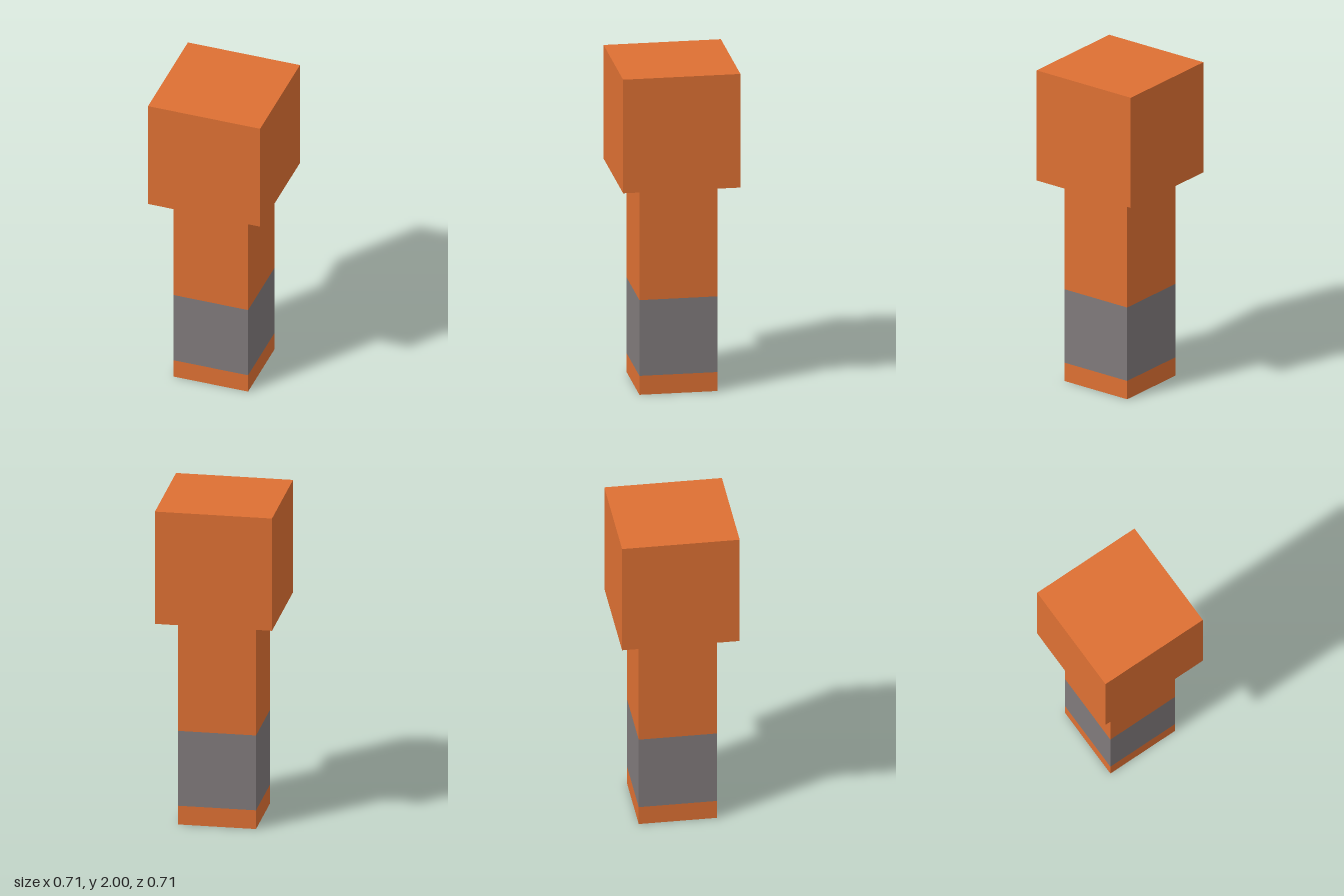
import * as THREE from 'three';

// The whole model sits on a grid of 17 units in height
const U = 2 / 17;

export function createModel() {
  const group = new THREE.Group();
  const orange = new THREE.MeshStandardMaterial({ color: 0xdd7033 });
  const grey = new THREE.MeshStandardMaterial({ color: 0x807a7b });

  // Square block, given its width, bottom and top in grid units
  const block = (name, width, bottom, top, material) => {
    const geometry = new THREE.BoxGeometry(width * U, (top - bottom) * U, width * U);
    const mesh = new THREE.Mesh(geometry, material);
    mesh.name = name;
    mesh.position.y = ((bottom + top) / 2) * U;
    group.add(mesh);
  };

  block('shaftFoot', 4, 0, 1, orange);
  block('shaftBand', 4, 1, 5, grey);
  block('shaft', 4, 5, 11, orange);
  block('head', 6, 11, 17, orange);

  return group;
}
